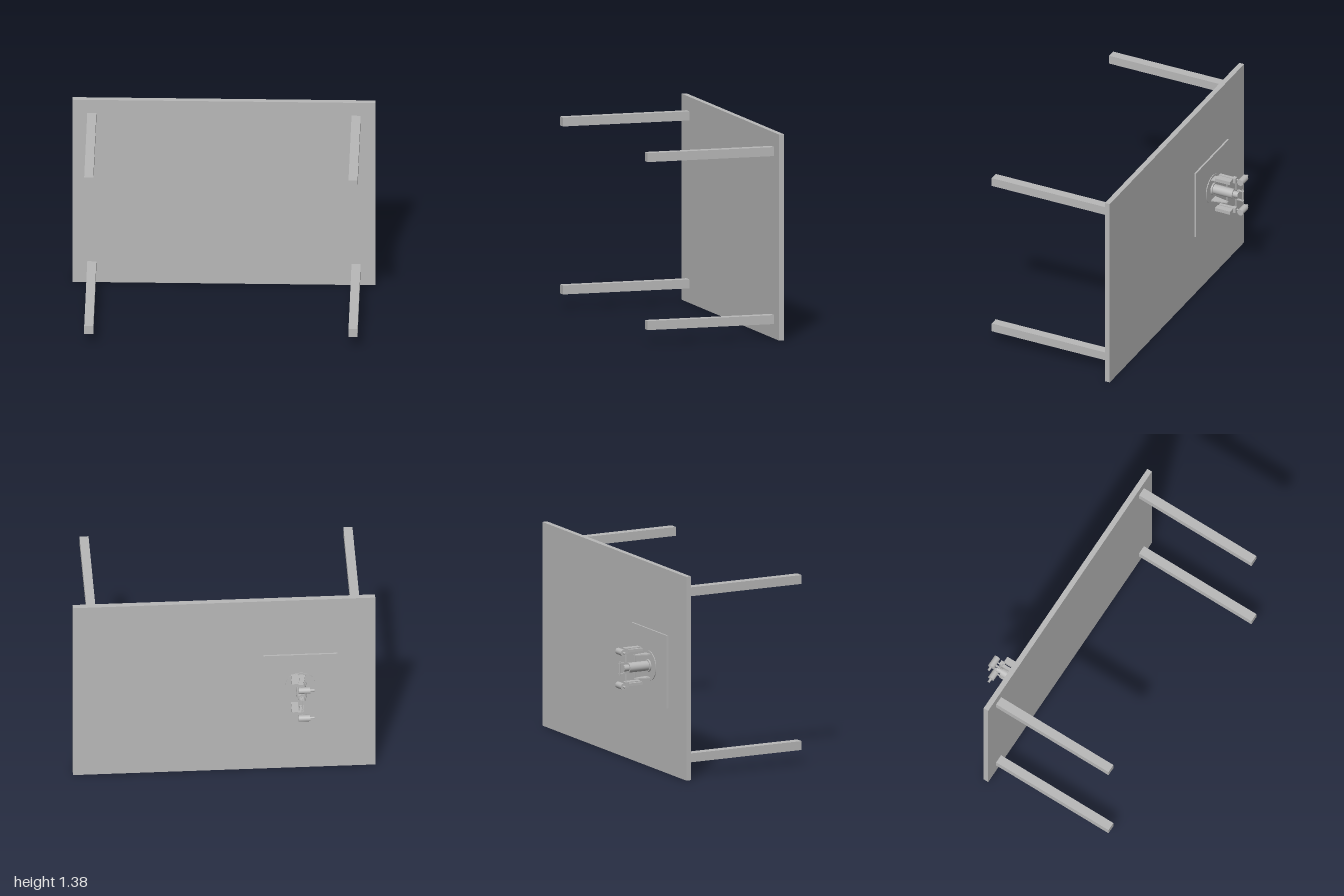
import * as THREE from 'three';

export function createModel() {
  const grey = new THREE.MeshStandardMaterial({ color: 0xb8b8b8 });
  grey.name = 'plain grey';

  const add = (parent, name, geometry, x, y, z) => {
    const mesh = new THREE.Mesh(geometry, grey);
    mesh.name = name;
    mesh.position.set(x, y, z);
    parent.add(mesh);
    return mesh;
  };
  const box = (parent, name, w, h, d, x, y, z) =>
    add(parent, name, new THREE.BoxGeometry(w, h, d), x, y, z);
  const rod = (parent, name, r, length, x, y, z, axis = 'y') => {
    const geometry = new THREE.CylinderGeometry(r, r, length, 24);
    if (axis === 'x') geometry.rotateZ(Math.PI / 2);
    if (axis === 'z') geometry.rotateX(Math.PI / 2);
    return add(parent, name, geometry, x, y, z);
  };

  // Table, modelled upright and then tipped onto its long edge
  const table = new THREE.Group();
  table.name = 'table';
  box(table, 'tabletop', 2, 0.036, 1.375, 0, 0, 0);
  for (const x of [-0.873, 0.873]) {
    for (const z of [-0.5605, 0.5605]) {
      box(table, 'leg', 0.06, 0.882, 0.06, x, -0.459, z);
    }
  }

  // Small machine standing on the tabletop
  const machine = new THREE.Group();
  machine.name = 'machine';
  machine.position.set(-0.505, 0.018, 0);
  table.add(machine);
  box(machine, 'basePlate', 0.49, 0.012, 0.49, 0, 0.006, 0);
  rod(machine, 'turntable', 0.1, 0.005, 0, 0.0145, 0);
  rod(machine, 'columnFoot', 0.042, 0.012, 0, 0.022, 0);
  rod(machine, 'column', 0.033, 0.155, 0, 0.0925, 0);
  rod(machine, 'columnNeck', 0.022, 0.036, 0, 0.188, 0);
  rod(machine, 'yokeBar', 0.004, 0.092, 0, 0.232, 0, 'z');

  // Tapered plate that carries the column on either side
  const bracket = new THREE.Shape([
    new THREE.Vector2(-0.032, 0.012), new THREE.Vector2(0.032, 0.012),
    new THREE.Vector2(0.01, 0.126), new THREE.Vector2(-0.01, 0.126),
  ]);

  for (const side of [-1, 1]) {
    const plate = new THREE.ExtrudeGeometry(bracket, { depth: 0.007, bevelEnabled: false });
    add(machine, 'bracket', plate, 0, 0, side * 0.079 - 0.0035);
    rod(machine, 'bracketPin', 0.004, 0.056, 0, 0.119, side * 0.058, 'z');
    box(machine, 'yokeArm', 0.014, 0.046, 0.006, 0, 0.219, side * 0.035);
    rod(machine, 'crossArm', 0.004, 0.078, 0, 0.185, side * 0.076, 'z');

    // Outer arm with its hanging weight and lamp head
    box(machine, 'clamp', 0.03, 0.024, 0.036, 0.008, 0.18, side * 0.114);
    box(machine, 'counterweight', 0.044, 0.11, 0.024, 0.044, 0.118, side * 0.114);
    box(machine, 'weightStrut', 0.022, 0.108, 0.018, 0, 0.119, side * 0.114);
    box(machine, 'weightLink', 0.06, 0.012, 0.02, 0.03, 0.168, side * 0.114);
    rod(machine, 'headStem', 0.005, 0.04, 0, 0.205, side * 0.114);
    rod(machine, 'head', 0.022, 0.078, -0.011, 0.229, side * 0.114, 'x');
    rod(machine, 'headTip', 0.008, 0.028, -0.064, 0.229, side * 0.114, 'x');
  }

  // Tip the table so its top faces the back, slightly turned
  table.rotation.order = 'YXZ';
  table.rotation.set(-Math.PI / 2, 0.0425, 0);
  table.position.set(0, 0.6875, -0.3425);

  const model = new THREE.Group();
  model.name = 'tippedTable';
  model.add(table);
  return model;
}
